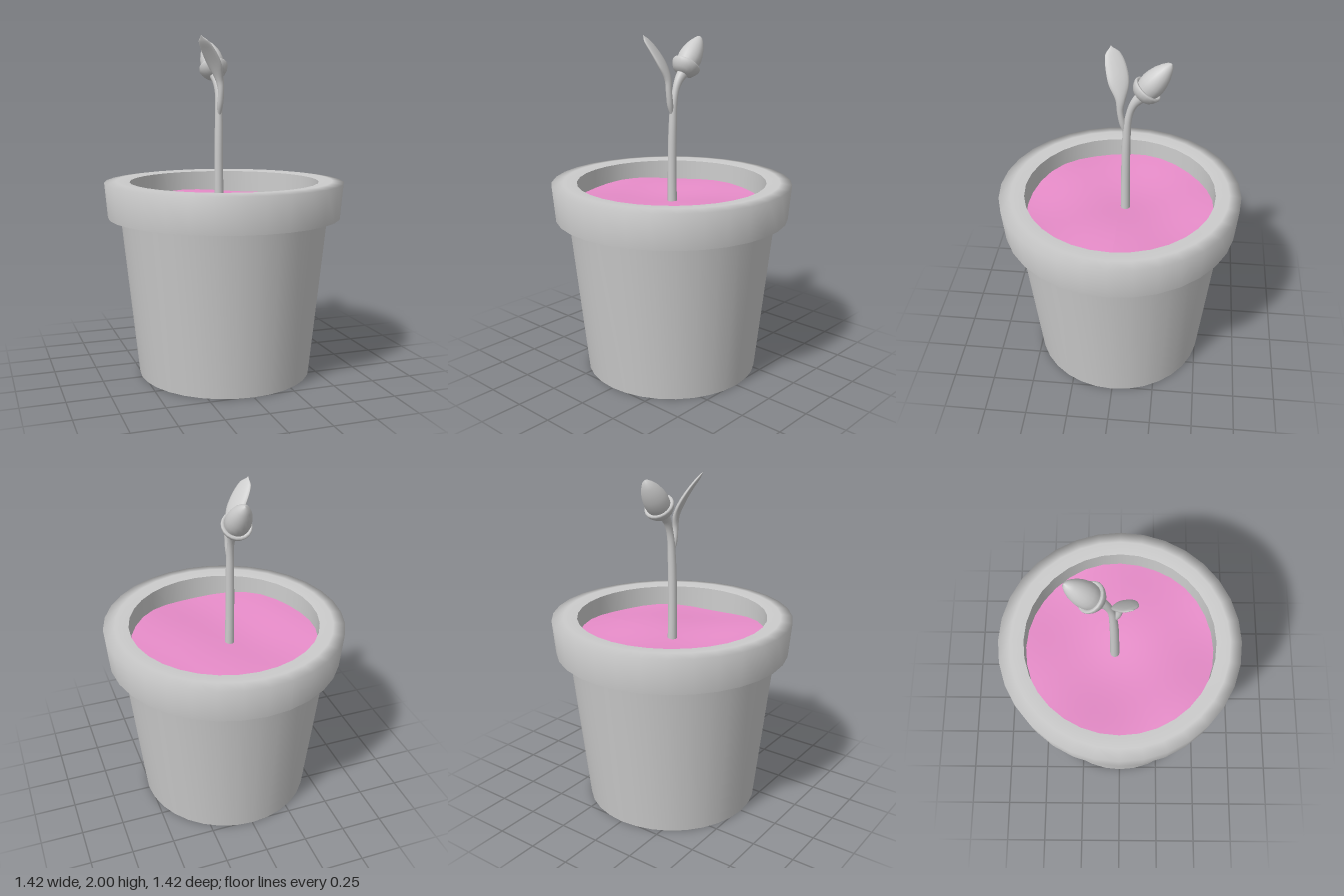
import * as THREE from 'three';
import { mergeVertices, toCreasedNormals } from 'three/addons/utils/BufferGeometryUtils.js';

const SIDES = 32;
const grey = new THREE.MeshStandardMaterial({ color: 0xcccccc });
const pink = new THREE.MeshStandardMaterial({ color: 0xe78cc9, side: THREE.DoubleSide });
const v3 = (x, y, z) => new THREE.Vector3(x, y, z);

function lathe(points, sides = SIDES) {
  return new THREE.LatheGeometry(points.map(([r, y]) => new THREE.Vector2(r, y)), sides);
}

function add(parent, name, geometry, material = grey) {
  const mesh = new THREE.Mesh(geometry, material);
  mesh.name = name;
  parent.add(mesh);
  return mesh;
}

// Reads a smooth value from evenly spaced samples
function sample(values, t) {
  const curve = new THREE.SplineCurve(values.map((v, i) => new THREE.Vector2(i, v)));
  return Math.max(curve.getPoint(t).y, 0.001);
}

// Sweeps an ellipse of changing half width and half thickness along a path
function sweep(path, widths, depths, sideHint, rings = 20, sides = 14) {
  const curve = new THREE.CatmullRomCurve3(path);
  let geo = new THREE.CylinderGeometry(1, 1, 1, sides, rings, true);
  const pos = geo.attributes.position;
  for (let i = 0; i < pos.count; i++) {
    const t = THREE.MathUtils.clamp(pos.getY(i) + 0.5, 0, 1);
    const axis = curve.getTangent(t);
    const side = sideHint.clone().addScaledVector(axis, -sideHint.dot(axis)).normalize();
    const normal = side.clone().cross(axis);
    const p = curve.getPoint(t)
      .addScaledVector(side, pos.getX(i) * sample(widths, t))
      .addScaledVector(normal, pos.getZ(i) * sample(depths, t));
    pos.setXYZ(i, p.x, p.y, p.z);
  }
  geo.deleteAttribute('uv');
  geo.deleteAttribute('normal');
  geo = mergeVertices(geo);
  geo.computeVertexNormals();
  return geo;
}

// Gently uneven soil surface
function soilGeometry() {
  const geo = new THREE.RingGeometry(0, 0.557, SIDES, 12);
  geo.rotateX(-Math.PI / 2);
  const pos = geo.attributes.position;
  for (let i = 0; i < pos.count; i++) {
    const x = pos.getX(i), z = pos.getZ(i);
    pos.setY(i, 1.035 + 0.014 * Math.sin(7 * x + 2 * z) * Math.cos(6 * z - 2 * x) - 0.008 * Math.cos(5 * x));
  }
  geo.computeVertexNormals();
  return geo;
}

export function createModel() {
  const model = new THREE.Group();

  // Pot
  const pot = new THREE.Group();
  pot.name = 'pot';
  model.add(pot);
  add(pot, 'potBody', toCreasedNormals(lathe([[0, 0], [0.515, 0], [0.615, 0.95], [0.69, 0.95]]), 0.6));
  add(pot, 'potRim', lathe([[0.69, 0.95], [0.708, 1.155], [0.64, 1.164], [0.56, 1.157]]));
  add(pot, 'potInnerWall', lathe([[0.56, 1.157], [0.556, 0.95]]));
  add(model, 'soil', soilGeometry(), pink);

  // Seedling
  const plant = new THREE.Group();
  plant.name = 'seedling';
  model.add(plant);
  const stemRadii = [0.028, 0.026, 0.025, 0.022, 0.02, 0.026, 0.036];
  add(plant, 'stem', sweep([
    v3(-0.022, 0.98, -0.03), v3(-0.024, 1.25, -0.03), v3(-0.022, 1.5, -0.034),
    v3(-0.02, 1.64, -0.045), v3(-0.019, 1.73, -0.075), v3(-0.018, 1.79, -0.125),
  ], stemRadii, stemRadii, v3(1, 0, 0), 28));

  // Stalk widening into a cupped leaf blade
  add(plant, 'leaf', sweep([
    v3(-0.022, 1.53, -0.03), v3(-0.022, 1.6, -0.012), v3(-0.02, 1.68, 0.002), v3(-0.028, 1.75, 0.0),
    v3(-0.06, 1.83, 0.012), v3(-0.105, 1.91, 0.034), v3(-0.142, 1.967, 0.055), v3(-0.163, 2.0, 0.066),
  ], [0.008, 0.018, 0.018, 0.03, 0.06, 0.06, 0.042, 0.001],
  [0.008, 0.018, 0.018, 0.019, 0.017, 0.013, 0.009, 0.001], v3(0.39, 0, 0.92), 28));

  // Bud in its cup, tilted towards the back
  const bud = new THREE.Group();
  bud.name = 'bud';
  bud.position.set(-0.018, 1.815, -0.14);
  bud.rotation.x = -0.67;
  plant.add(bud);
  add(bud, 'budCup', lathe([
    [0.001, -0.055], [0.035, -0.052], [0.064, -0.036], [0.08, -0.012],
    [0.087, 0.008], [0.085, 0.018], [0.076, 0.021], [0.066, 0.012],
  ], 20));
  add(bud, 'budTip', lathe([
    [0.064, 0], [0.07, 0.03], [0.071, 0.06], [0.066, 0.095], [0.055, 0.135],
    [0.038, 0.172], [0.02, 0.2], [0.001, 0.213],
  ], 20));

  return model;
}
